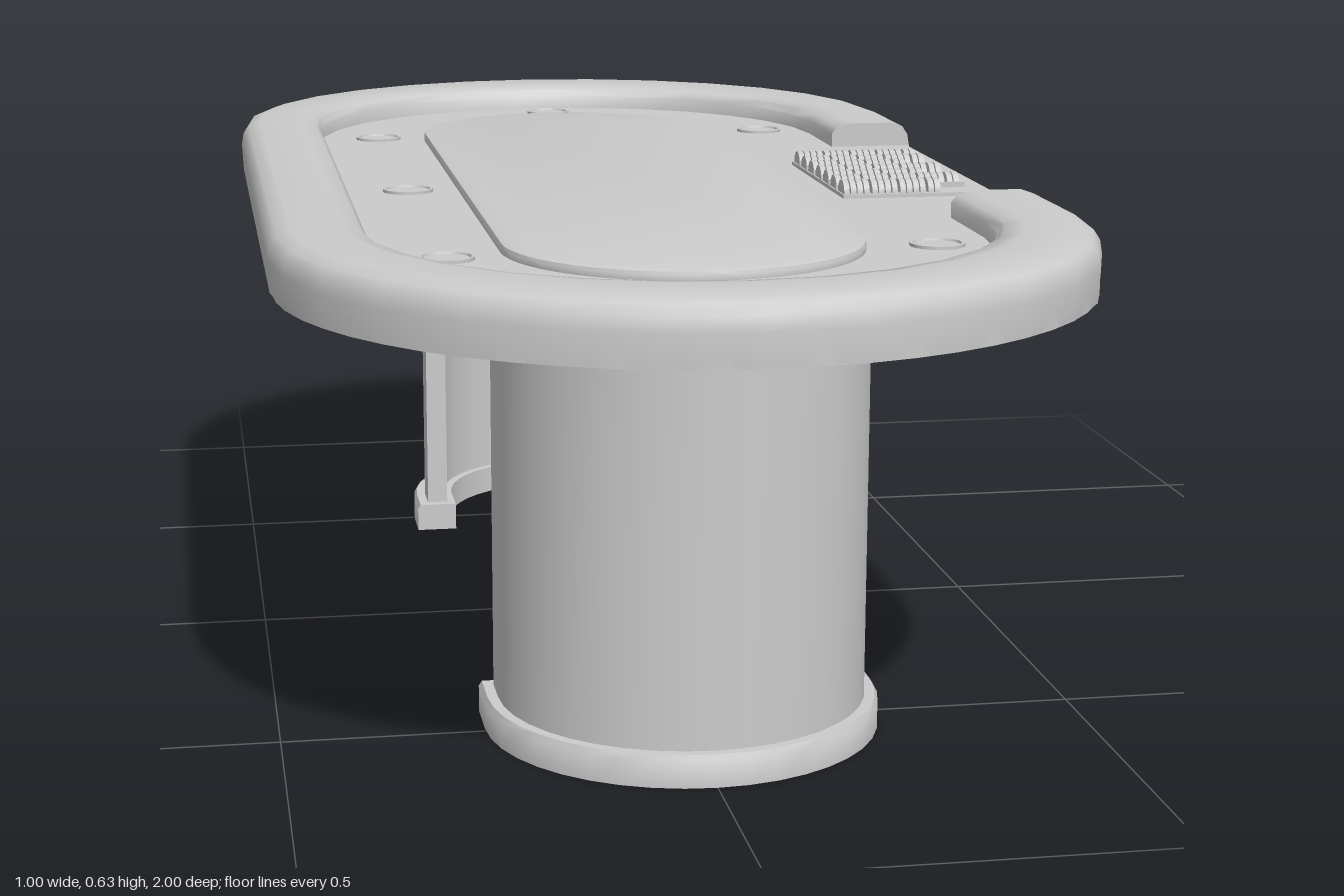
import * as THREE from 'three';
import { toCreasedNormals } from 'three/addons/utils/BufferGeometryUtils.js';

const material = new THREE.MeshStandardMaterial({ color: 0xcccccc, side: THREE.DoubleSide });

function add(parent, name, geometry, x = 0, y = 0, z = 0) {
  const mesh = new THREE.Mesh(geometry, material);
  mesh.name = name;
  mesh.position.set(x, y, z);
  parent.add(mesh);
  return mesh;
}

// Stations are functions that place a radius r (with arc centre offset h) in plan
const arc = (side, from, n) => Array.from({ length: n + 1 }, (_, i) => {
  const a = from + (Math.PI * i) / n;
  return (r, h) => [r * Math.cos(a), side * h + r * Math.sin(a)];
});
const straight = (side, z) => (r) => [side * r, z];

// Sweeps a closed profile of [radius, height, arc centre] along the stations, with end caps
function sweep(profile, stations) {
  const pos = [], index = [], n = profile.length;
  for (const place of stations) {
    for (const [r, y, h] of profile) {
      const [x, z] = place(r, h);
      pos.push(x, y, z);
    }
  }
  for (let i = 0; i < stations.length - 1; i++) {
    for (let j = 0; j < n; j++) {
      const a = i * n + j, b = i * n + ((j + 1) % n);
      index.push(a, b, a + n, b, b + n, a + n);
    }
  }
  const outline = profile.map(([r, y]) => new THREE.Vector2(r, y));
  const last = (stations.length - 1) * n;
  for (const [a, b, c] of THREE.ShapeUtils.triangulateShape(outline, [])) {
    index.push(a, c, b, last + a, last + b, last + c);
  }
  const g = new THREE.BufferGeometry();
  g.setAttribute('position', new THREE.Float32BufferAttribute(pos, 3));
  g.setIndex(index);
  return toCreasedNormals(g, 0.75);
}

// Flat slab with two round ends
function stadium(r, h, depth, bevel = 0) {
  const s = new THREE.Shape();
  s.absarc(0, h, r - bevel, 0, Math.PI);
  s.absarc(0, -h, r - bevel, Math.PI, Math.PI * 2);
  s.closePath();
  const g = new THREE.ExtrudeGeometry(s, {
    depth: depth - bevel, curveSegments: 14, bevelEnabled: bevel > 0,
    bevelSize: bevel, bevelThickness: bevel, bevelSegments: 2,
  });
  g.rotateX(-Math.PI / 2);
  return toCreasedNormals(g, 0.75);
}

// One C-shaped pedestal, open towards the middle of the table
function makePedestal() {
  const leg = new THREE.Group();
  const cShape = (zEnd) => [straight(1, zEnd), ...arc(1, 0, 20), straight(-1, zEnd)];
  const h = 0.49;
  add(leg, 'pedestalWall', sweep(
    [[0.2, 0.03, h], [0.23, 0.03, h], [0.23, 0.565, h], [0.2, 0.565, h]], cShape(0.44)));
  add(leg, 'pedestalFoot', sweep(
    [[0.188, 0, h], [0.247, 0, h], [0.247, 0.034, h], [0.243, 0.04, h], [0.188, 0.04, h]], cShape(0.425)));
  return leg;
}

// Tray with seven rows of chip stacks, every second one partly used
function makeChipTray() {
  const tray = new THREE.Group();
  tray.name = 'chipTray';
  add(tray, 'trayFloor', new THREE.BoxGeometry(0.18, 0.01, 0.318), 0.37, 0.6, 0);
  const chip = new THREE.CylinderGeometry(0.019, 0.019, 0.0075, 12).rotateZ(Math.PI / 2);
  const divider = new THREE.BoxGeometry(0.18, 0.012, 0.004);
  for (let row = 0; row < 7; row++) {
    const z = (row - 3) * 0.045;
    const count = row > 0 && row % 2 === 0 ? 14 : 18;
    for (let i = 0; i < count; i++) {
      // A small gap after every third chip splits the stack visibly
      add(tray, 'chip', chip, 0.286 + i * 0.0092 + Math.floor(i / 4) * 0.002, 0.604, z);
    }
    if (row < 6) add(tray, 'trayDivider', divider, 0.37, 0.606, z + 0.0225);
  }
  return tray;
}

export function createModel() {
  const table = new THREE.Group();
  table.name = 'cardTable';

  add(table, 'tableTop', stadium(0.496, 0.5, 0.04), 0, 0.56, 0);
  add(table, 'playingSurface', stadium(0.222, 0.488, 0.016, 0.005), 0, 0.596, 0);

  // Padded rail, broken on one long side for the dealer
  const railProfile = [
    [0.38, 0.59, 0.48], [0.42, 0.561, 0.5], [0.498, 0.561, 0.5], [0.5, 0.6, 0.5],
    [0.497, 0.617, 0.5], [0.489, 0.629, 0.5], [0.472, 0.635, 0.5],
    [0.41, 0.635, 0.49], [0.388, 0.63, 0.48], [0.38, 0.62, 0.48],
  ];
  add(table, 'armRail', sweep(railProfile,
    [straight(1, 0.33), ...arc(1, 0, 14), ...arc(-1, Math.PI, 14), straight(1, -0.33)]));

  // Shallow cup holders
  const cup = new THREE.LatheGeometry([
    [0, 0.001], [0.029, 0.001], [0.03, 0.004], [0.034, 0.004], [0.034, -0.004],
  ].map(([x, y]) => new THREE.Vector2(x, y)), 24);
  const cupGeometry = toCreasedNormals(cup, 0.6);
  const cups = [[0.01, 0.79], [0.01, -0.795], [-0.29, 0], [-0.29, 0.525], [-0.29, -0.525],
    [0.308, 0.525], [0.308, -0.525]];
  for (const [x, z] of cups) add(table, 'cupHolder', cupGeometry, x, 0.6, z);

  table.add(makeChipTray());

  // Two mirrored pedestals
  for (const name of ['frontPedestal', 'backPedestal']) {
    const leg = makePedestal();
    leg.name = name;
    if (name === 'backPedestal') leg.rotation.y = Math.PI;
    table.add(leg);
  }
  return table;
}
